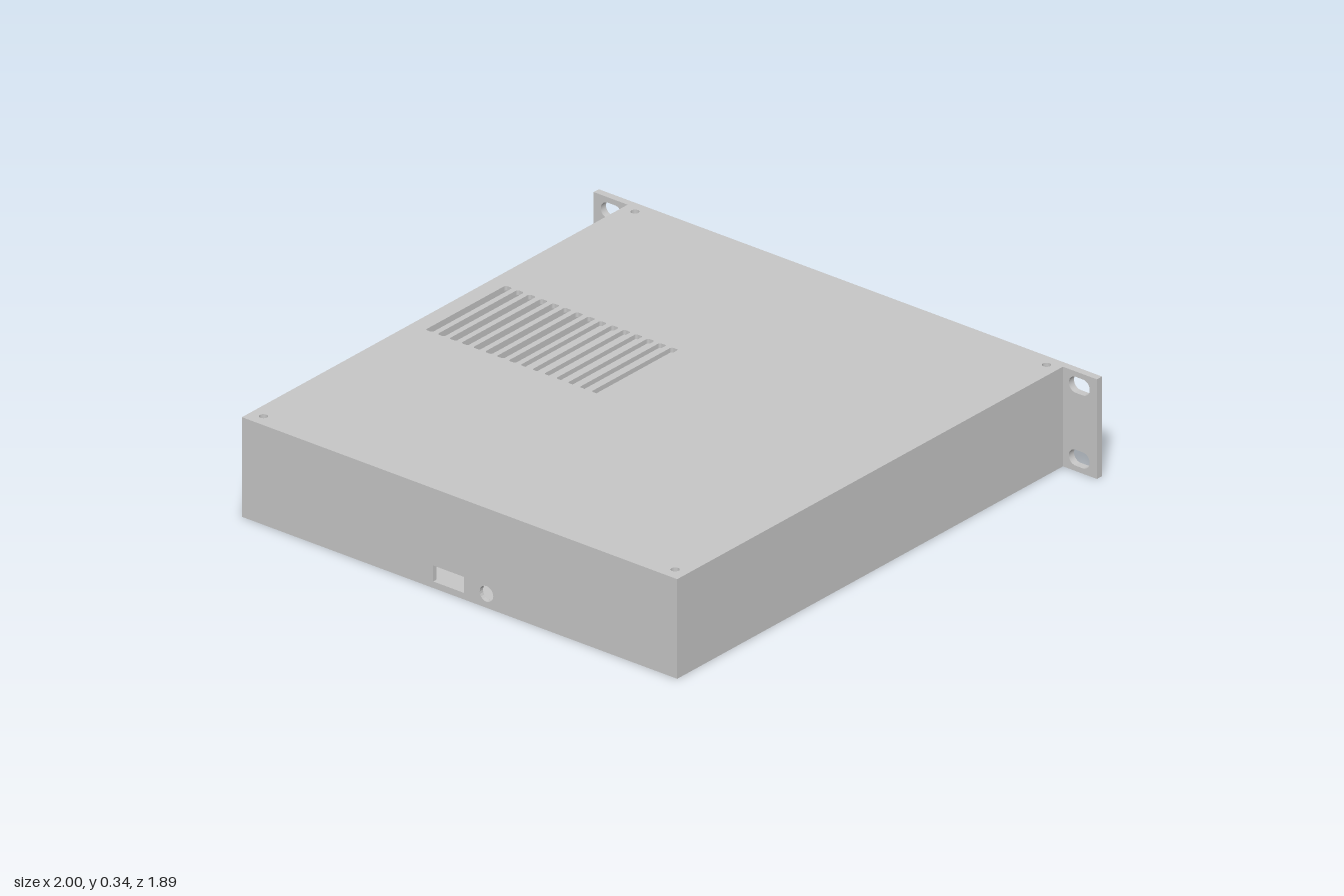
import * as THREE from 'three';

const HALF_W = 0.865, HALF_D = 0.945, TOP = 0.343;
const MID = TOP / 2, WALL = 0.016, PLATE = 0.025;

// Rounded rectangular opening centred on (x, y)
function slot(x, y, w, h, r = 0) {
  const p = new THREE.Path(), a = w / 2, b = h / 2;
  if (r === 0) {
    p.setFromPoints([[-a, -b], [-a, b], [a, b], [a, -b], [-a, -b]]
      .map(([u, v]) => new THREE.Vector2(x + u, y + v)));
    return p;
  }
  const q = Math.PI / 2;
  p.absarc(x + a - r, y + b - r, r, 0, q);
  p.absarc(x - a + r, y + b - r, r, q, 2 * q);
  p.absarc(x - a + r, y - b + r, r, 2 * q, 3 * q);
  p.absarc(x + a - r, y - b + r, r, 3 * q, 4 * q);
  p.closePath();
  return p;
}

function round(x, y, r) {
  const p = new THREE.Path();
  p.absarc(x, y, r, 0, Math.PI * 2);
  return p;
}

// Panel with openings; outer face at local z = 0, inner edges mitred by `mitre`
function panel(w, h, t, mitre, holes) {
  const a = w / 2, b = h / 2;
  const shape = new THREE.Shape([[-a, -b], [a, -b], [a, b], [-a, b]].map(([x, y]) => new THREE.Vector2(x, y)));
  shape.holes.push(...holes);
  const geo = new THREE.ExtrudeGeometry(shape, { depth: t, bevelEnabled: false, curveSegments: 10 });
  geo.translate(0, 0, -t);
  const pos = geo.attributes.position;
  for (let i = 0; i < pos.count; i++) {
    if (pos.getZ(i) > -t / 2) continue;
    const x = pos.getX(i), y = pos.getY(i);
    if (Math.abs(x) > a - 1e-5) pos.setX(i, x - Math.sign(x) * mitre);
    if (Math.abs(y) > b - 1e-5) pos.setY(i, y - Math.sign(y) * mitre);
  }
  geo.computeVertexNormals();
  return geo;
}

export function createModel() {
  const group = new THREE.Group();
  const metal = new THREE.MeshStandardMaterial({ color: 0xc5c5c5 });
  metal.name = 'light grey metal';

  const add = (name, geo, position, rx = 0, ry = 0) => {
    const mesh = new THREE.Mesh(geo, metal);
    mesh.name = name;
    mesh.position.set(...position);
    mesh.rotation.set(rx, ry, 0);
    group.add(mesh);
  };
  const Q = Math.PI / 2, W = HALF_W * 2, D = HALF_D * 2;

  // Lid: ventilation grille and corner screw holes
  const lidHoles = [];
  for (let i = 0; i < 15; i++) lidHoles.push(slot(-0.793 + i * 0.0471, 0.065, 0.027, 0.388, 0.008));
  for (const x of [-0.818, 0.818]) for (const y of [-0.898, 0.898]) lidHoles.push(round(x, y, 0.014));
  add('lid', panel(W, D, WALL, WALL, lidHoles), [0, TOP, 0], -Q);

  // Base: four blind mounting holes, closed by standoffs inside
  const baseHoles = [];
  const standoff = new THREE.CylinderGeometry(0.032, 0.032, 0.04, 20);
  for (const x of [-0.68, -0.075]) for (const z of [-0.24, 0.255]) {
    baseHoles.push(round(x, z, 0.02));
    add('standoff', standoff, [x, WALL + 0.02, z]);
  }
  add('base', panel(W, D, WALL, WALL, baseHoles), [0, 0, 0], Q);

  // Sides: the right one has a row of small vents
  const sideVents = [];
  for (let i = 0; i < 11; i++) sideVents.push(slot(0.403 + i * 0.0473, 0.176 - MID, 0.026, 0.05));
  add('rightSide', panel(D, TOP, WALL, WALL, sideVents), [-HALF_W, MID, 0], 0, -Q);
  add('leftSide', panel(D, TOP, WALL, WALL, []), [HALF_W, MID, 0], 0, Q);

  // Front: switch cutout and round socket
  add('frontPanel', panel(W, TOP, WALL, WALL, [
    slot(-0.044, 0.05 - MID, 0.122, 0.055),
    round(0.107, 0.048 - MID, 0.027),
  ]), [0, MID, HALF_D]);

  // Rack plate: ears with oblong holes and a row of port openings
  const plateHoles = [];
  for (const x of [-0.93, 0.93]) for (const y of [0.046, 0.297]) plateHoles.push(slot(x, y - MID, 0.083, 0.055, 0.0274));
  for (const [x, w] of [[0.124, 0.124], [0.275, 0.124], [0.439, 0.148]]) plateHoles.push(slot(x, 0.192 - MID, w, 0.068));
  plateHoles.push(slot(0.726, 0.184 - MID, 0.066, 0.05));
  plateHoles.push(new THREE.Path([[0.553, 0.163], [0.553, 0.2], [0.573, 0.223], [0.64, 0.223], [0.66, 0.2], [0.66, 0.163], [0.553, 0.163]]
    .map(([x, y]) => new THREE.Vector2(x, y - MID))));
  add('rackPlate', panel(2, TOP, PLATE, 0, plateHoles), [0, MID, -HALF_D], 0, Math.PI);

  return group;
}
